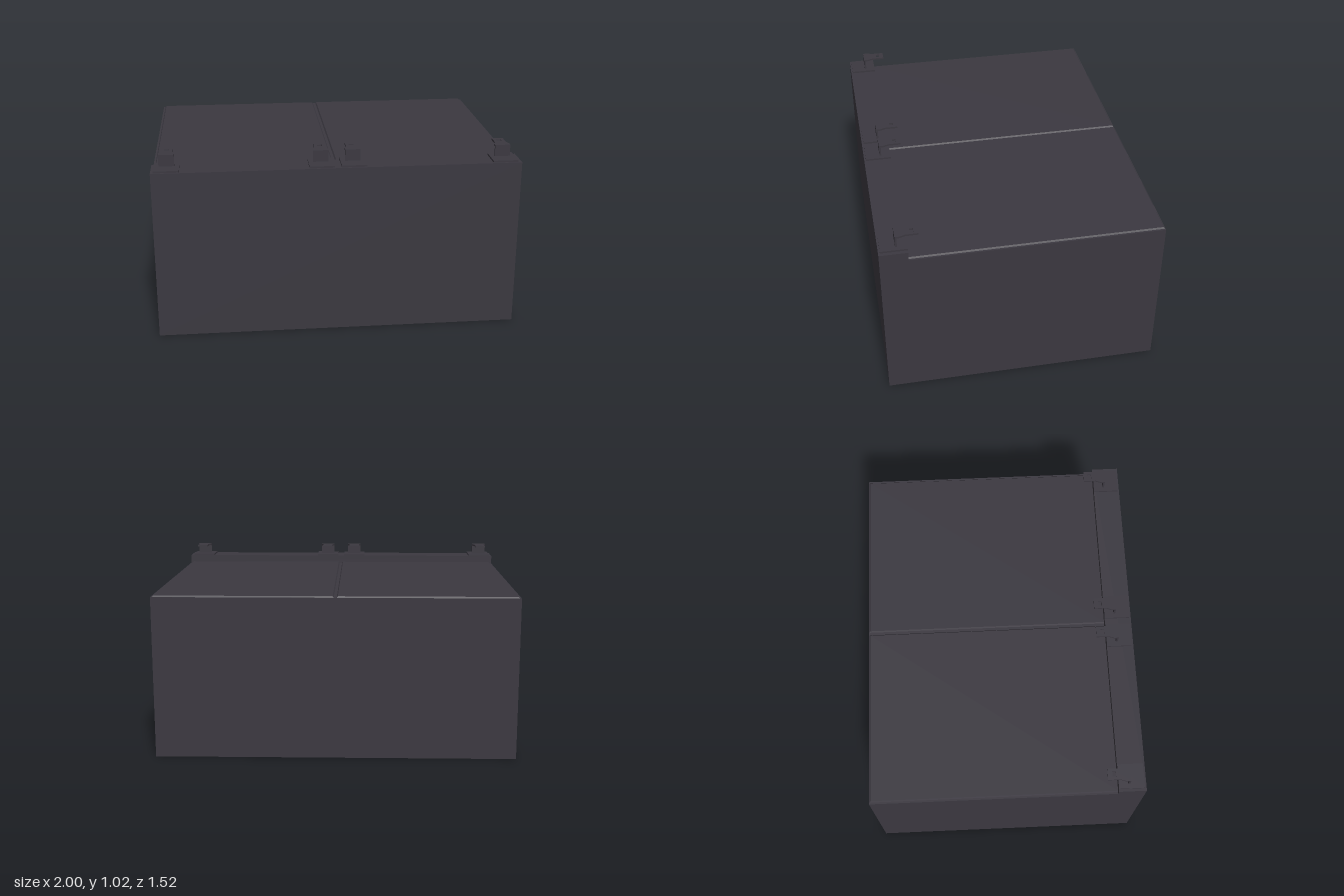
import * as THREE from 'three';

const material = new THREE.MeshStandardMaterial({ color: 0x3b3840 });

function box(name, x0, x1, y0, y1, z0, z1) {
  const mesh = new THREE.Mesh(new THREE.BoxGeometry(x1 - x0, y1 - y0, z1 - z0), material);
  mesh.position.set((x0 + x1) / 2, (y0 + y1) / 2, (z0 + z1) / 2);
  mesh.name = name;
  return mesh;
}

// Case: L-shaped side profile (z, y) with a raised front ledge, swept across x
function caseBody() {
  const profile = new THREE.Shape([
    [-0.76, 0], [0.76, 0], [0.76, 0.95], [0.608, 0.95], [0.608, 0.9], [-0.76, 0.9],
  ].map(([z, y]) => new THREE.Vector2(-z, y)));
  const geometry = new THREE.ExtrudeGeometry(profile, { depth: 2, bevelEnabled: false });
  geometry.rotateY(Math.PI / 2).translate(-1, 0, 0);
  const mesh = new THREE.Mesh(geometry, material);
  mesh.name = 'caseBody';
  return mesh;
}

// Lid: thin panel whose upper rim is slightly chamfered
function lid(name, x0, x1) {
  const mesh = box(name, x0, x1, 0.9, 0.908, -0.757, 0.608);
  const p = mesh.geometry.attributes.position;
  for (let i = 0; i < p.count; i++) {
    if (p.getY(i) > 0) {
      p.setX(i, p.getX(i) - Math.sign(p.getX(i)) * 0.006);
      if (p.getZ(i) < 0) p.setZ(i, p.getZ(i) + 0.005);
    }
  }
  mesh.geometry.computeVertexNormals();
  return mesh;
}

// Bracket: mounting plate, upright and a necked tongue with a slot
function bracket(x, name) {
  const group = new THREE.Group();
  group.name = name;
  group.add(box('mountingPlate', -0.068, 0.068, 0.95, 0.96, 0.608, 0.75));
  group.add(box('upright', -0.042, 0.042, 0.96, 1.015, 0.66, 0.67));

  const half = [[0.042, 0.67], [0.042, 0.645], [0.031, 0.615], [0.031, 0.545]];
  const outline = [...half, ...half.map(([px, z]) => [-px, z]).reverse()];
  const shape = new THREE.Shape(outline.map(([px, z]) => new THREE.Vector2(px, -z)));
  shape.holes.push(new THREE.Path([[-0.014, 0.57], [0.014, 0.57], [0.014, 0.59], [-0.014, 0.59]]
    .map(([px, z]) => new THREE.Vector2(px, -z))));
  const geometry = new THREE.ExtrudeGeometry(shape, { depth: 0.01, bevelEnabled: false });
  geometry.rotateX(-Math.PI / 2).translate(0, 1.014, 0);
  const tongue = new THREE.Mesh(geometry, material);
  tongue.name = 'tongue';
  group.add(tongue);

  group.position.x = x;
  return group;
}

export function createModel() {
  const model = new THREE.Group();
  model.name = 'storageCase';
  model.add(caseBody());
  model.add(lid('rightLid', -0.99, -0.008), lid('leftLid', 0.008, 0.99));
  [-0.917, -0.089, 0.085, 0.912].forEach((x, i) => model.add(bracket(x, `bracket${i + 1}`)));
  return model;
}
